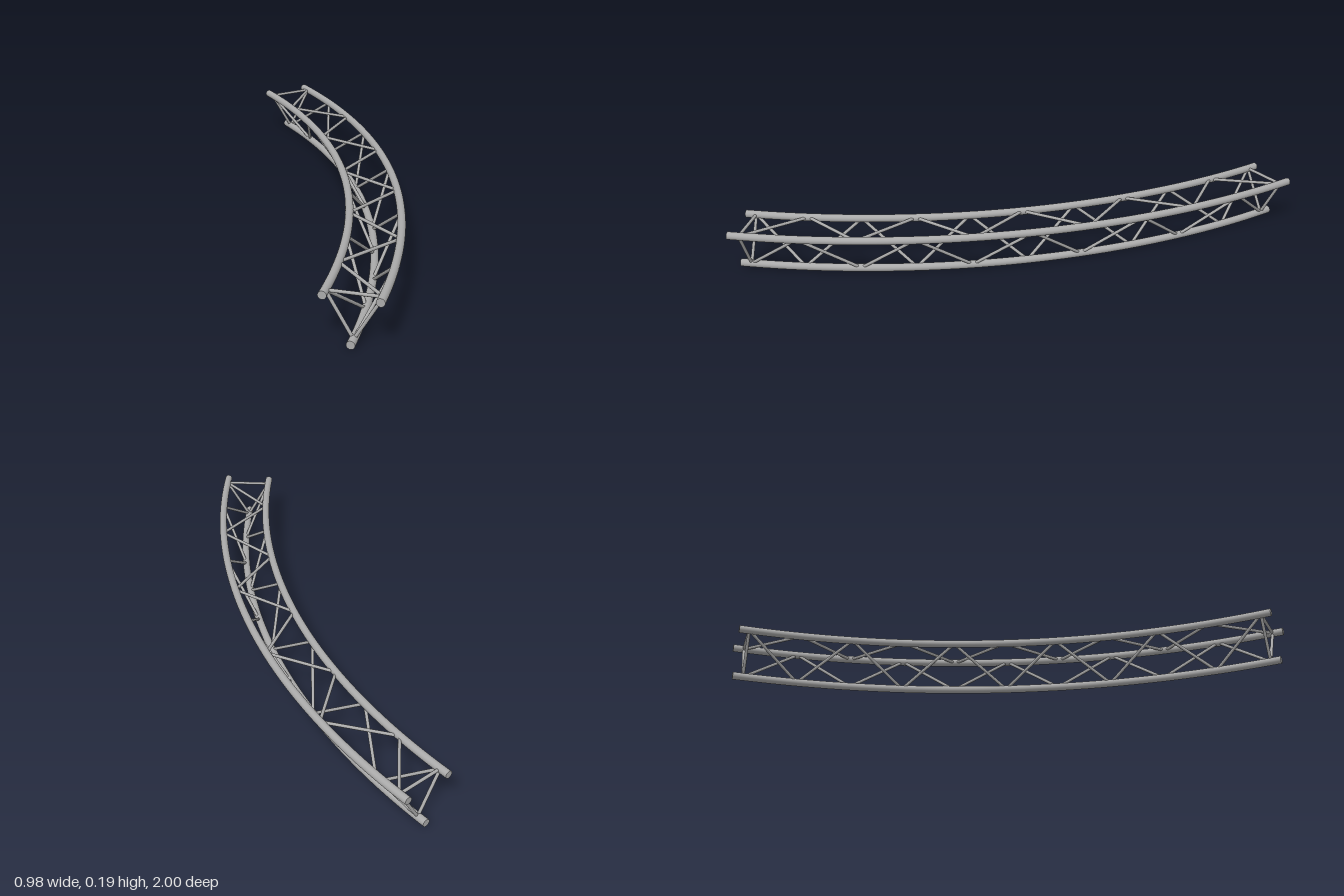
import * as THREE from 'three';

const CENTRE_X = -2.34, START_Z = 1;   // centre of the bend
const SWEEP = Math.PI / 4;
const CHORD_R = 0.0145, BRACE_R = 0.006;
const BAYS = 10, INSET = 0.0147;       // brace nodes start just inside the ends

// The three chords: bend radius and height
const CHORDS = {
  inner: { radius: 2.633, y: 0.172 },
  outer: { radius: 2.814, y: 0.172 },
  bottom: { radius: 2.7235, y: CHORD_R },
};

function pointOn(chord, angle) {
  return new THREE.Vector3(
    CENTRE_X + chord.radius * Math.cos(angle), chord.y, START_Z - chord.radius * Math.sin(angle));
}

class ChordCurve extends THREE.Curve {
  constructor(chord) {
    super();
    this.chord = chord;
  }
  getPoint(t, target = new THREE.Vector3()) {
    return target.copy(pointOn(this.chord, t * SWEEP));
  }
}

export function createModel() {
  const model = new THREE.Group();
  model.name = 'curvedTruss';
  const metal = new THREE.MeshStandardMaterial({ color: 0xaaaaaa });
  metal.name = 'aluminium grey';

  function add(name, geometry, parent) {
    const mesh = new THREE.Mesh(geometry, metal);
    mesh.name = name;
    parent.add(mesh);
    return mesh;
  }

  // Curved main tubes with closed ends
  for (const [name, chord] of Object.entries(CHORDS)) {
    const group = new THREE.Group();
    group.name = name + 'Chord';
    model.add(group);
    add(name + 'Tube', new THREE.TubeGeometry(new ChordCurve(chord), 48, CHORD_R, 20), group);
    for (const [end, angle, turn] of [['front', 0, 0], ['back', SWEEP, SWEEP + Math.PI]]) {
      const cap = add(name + end + 'Cap', new THREE.CircleGeometry(CHORD_R, 20), group);
      cap.position.copy(pointOn(chord, angle));
      cap.rotation.y = turn;
    }
  }

  const node = (name, k) =>
    pointOn(CHORDS[name], INSET + (SWEEP - 2 * INSET) * k / BAYS);

  // Thin round bar between two nodes
  function brace(name, a, b, parent) {
    const dir = b.clone().sub(a);
    const bar = add(name, new THREE.CylinderGeometry(BRACE_R, BRACE_R, dir.length(), 10), parent);
    bar.position.copy(a).add(b).multiplyScalar(0.5);
    bar.quaternion.setFromUnitVectors(new THREE.Vector3(0, 1, 0), dir.normalize());
  }

  // Each face: an end strut at both ends and a zigzag between (first chord holds the even nodes)
  const faces = [
    ['innerFace', 'inner', 'bottom'],
    ['outerFace', 'bottom', 'outer'],
    ['topFace', 'outer', 'inner'],
  ];
  for (const [name, even, odd] of faces) {
    const group = new THREE.Group();
    group.name = name;
    model.add(group);
    for (const k of [0, BAYS]) brace('endStrut', node(even, k), node(odd, k), group);
    for (let k = 0; k < BAYS; k++) {
      const from = k % 2 ? odd : even, to = k % 2 ? even : odd;
      brace('diagonal', node(from, k), node(to, k + 1), group);
    }
  }
  return model;
}
